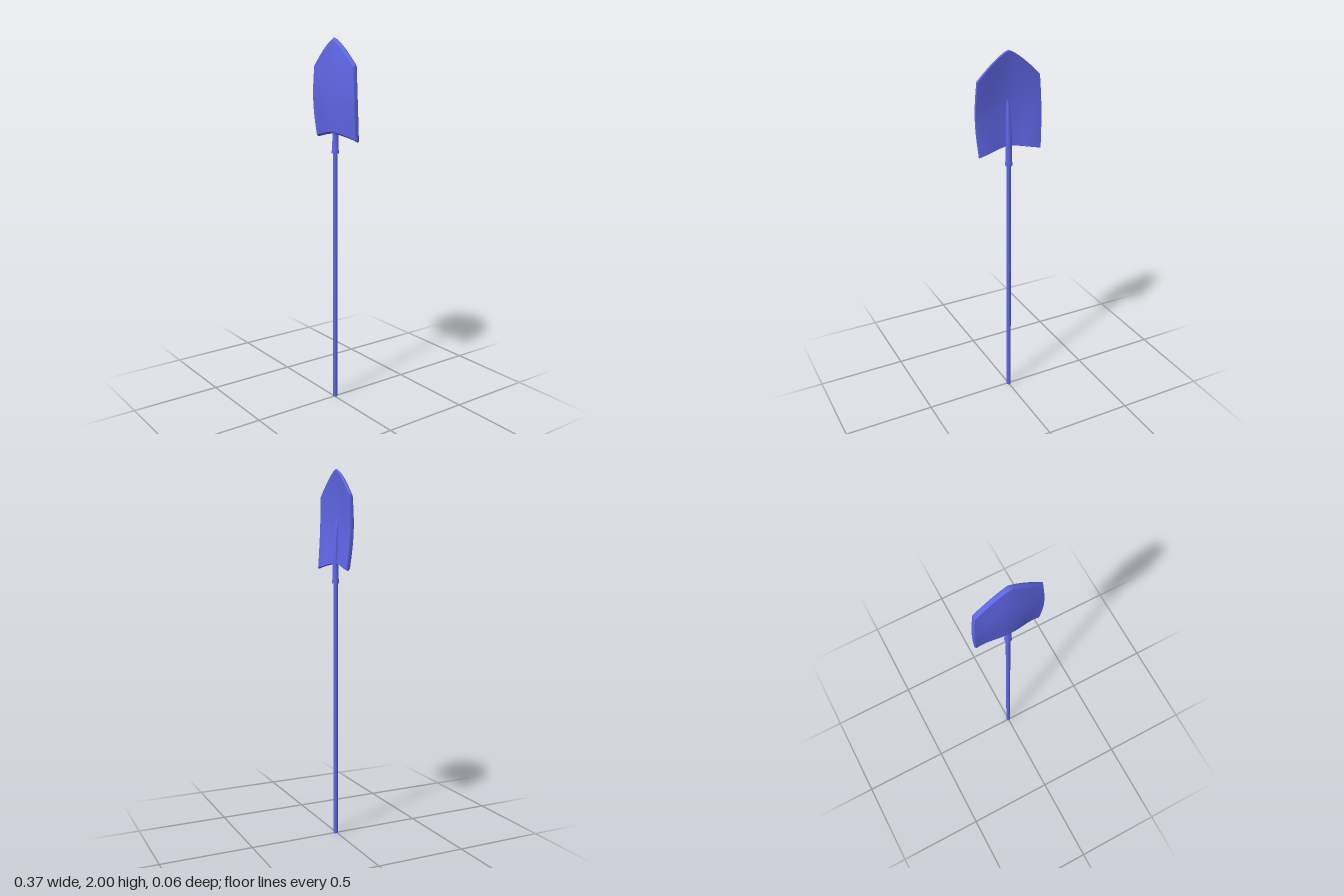
import * as THREE from 'three';
import { toCreasedNormals } from 'three/addons/utils/BufferGeometryUtils.js';

const { lerp } = THREE.MathUtils;
const NU = 20, NV = 16;

// Point on the dished blade: u across (-1..1), v up (0..1), z pushed by dz.
function bladePoint(u, v, inset, dz) {
  const a = Math.abs(u), arch = Math.sin(Math.PI * v);
  const bottom = 1.505 - 0.032 * a ** 1.4 + inset;
  const top = 1.865 + 0.135 * (1 - a ** 1.3) - inset;
  const halfWidth = lerp(0.177, 0.175, v) + 0.011 * arch - inset * 0.4;
  const centre = lerp(0.004, 0.003, v) + 0.014 * arch;
  const edge = lerp(-0.017, -0.001, v) + 0.008 * arch;
  const bend = 1 - (1 - u * u) ** lerp(3, 1.3, Math.min(1, 2 * v));
  return [u * halfWidth, lerp(bottom, top, v), lerp(centre, edge, bend) + dz];
}

function bladeGeometry() {
  const positions = [], index = [];
  const at = (layer, i, j) => (layer * (NV + 1) + j) * (NU + 1) + i;
  // Layers: front face, outermost rim line, back face
  for (const [inset, dz] of [[0.011, 0.011], [0, -0.002], [0.004, -0.011]]) {
    for (let j = 0; j <= NV; j++) {
      for (let i = 0; i <= NU; i++) positions.push(...bladePoint(2 * i / NU - 1, j / NV, inset, dz));
    }
  }
  const quad = (a, b, c, d) => index.push(a, b, c, a, c, d);
  for (let j = 0; j < NV; j++) {
    for (let i = 0; i < NU; i++) {
      quad(at(0, i, j), at(0, i + 1, j), at(0, i + 1, j + 1), at(0, i, j + 1));
      quad(at(2, i, j), at(2, i, j + 1), at(2, i + 1, j + 1), at(2, i + 1, j));
    }
  }
  // Bevelled rim joining the faces
  const loop = [];
  for (let i = 0; i < NU; i++) loop.push([i, 0]);
  for (let j = 0; j < NV; j++) loop.push([NU, j]);
  for (let i = NU; i > 0; i--) loop.push([i, NV]);
  for (let j = NV; j > 0; j--) loop.push([0, j]);
  loop.forEach((p, k) => {
    const q = loop[(k + 1) % loop.length];
    for (const l of [0, 1]) quad(at(l, ...p), at(l + 1, ...p), at(l + 1, ...q), at(l, ...q));
  });
  const geometry = new THREE.BufferGeometry();
  geometry.setAttribute('position', new THREE.Float32BufferAttribute(positions, 3));
  geometry.setIndex(index);
  return toCreasedNormals(geometry, 0.6);
}

// Socket that tapers into a ridge along the back of the blade
function socketGeometry() {
  const rings = [ // radius, y, z of centre
    [0, 1.4, -0.005], [0.019, 1.4, -0.005], [0.019, 1.415, -0.005], [0.017, 1.425, -0.005],
    [0.016, 1.5, -0.006], [0.016, 1.56, -0.004], [0.014, 1.62, -0.001],
    [0.01, 1.7, 0.003], [0.008, 1.73, 0.005], [0, 1.755, 0.01],
  ];
  const sides = 12;
  const geometry = new THREE.LatheGeometry(rings.map(([r, y]) => new THREE.Vector2(r, y)), sides);
  const p = geometry.attributes.position;
  for (let k = 0; k < p.count; k++) p.setZ(k, p.getZ(k) + rings[k % rings.length][2]);
  return toCreasedNormals(geometry, 0.7);
}

export function createModel() {
  const shovel = new THREE.Group();
  shovel.name = 'shovel';
  const material = new THREE.MeshStandardMaterial({ color: 0x6068e8 });
  const add = (name, geometry) => {
    const mesh = new THREE.Mesh(geometry, material);
    mesh.name = name;
    shovel.add(mesh);
    return mesh;
  };

  add('blade', bladeGeometry());
  add('socket', socketGeometry());
  // Long straight handle
  add('handle', new THREE.CylinderGeometry(0.012, 0.012, 1.42, 12)).position.set(0, 0.71, -0.005);
  return shovel;
}
